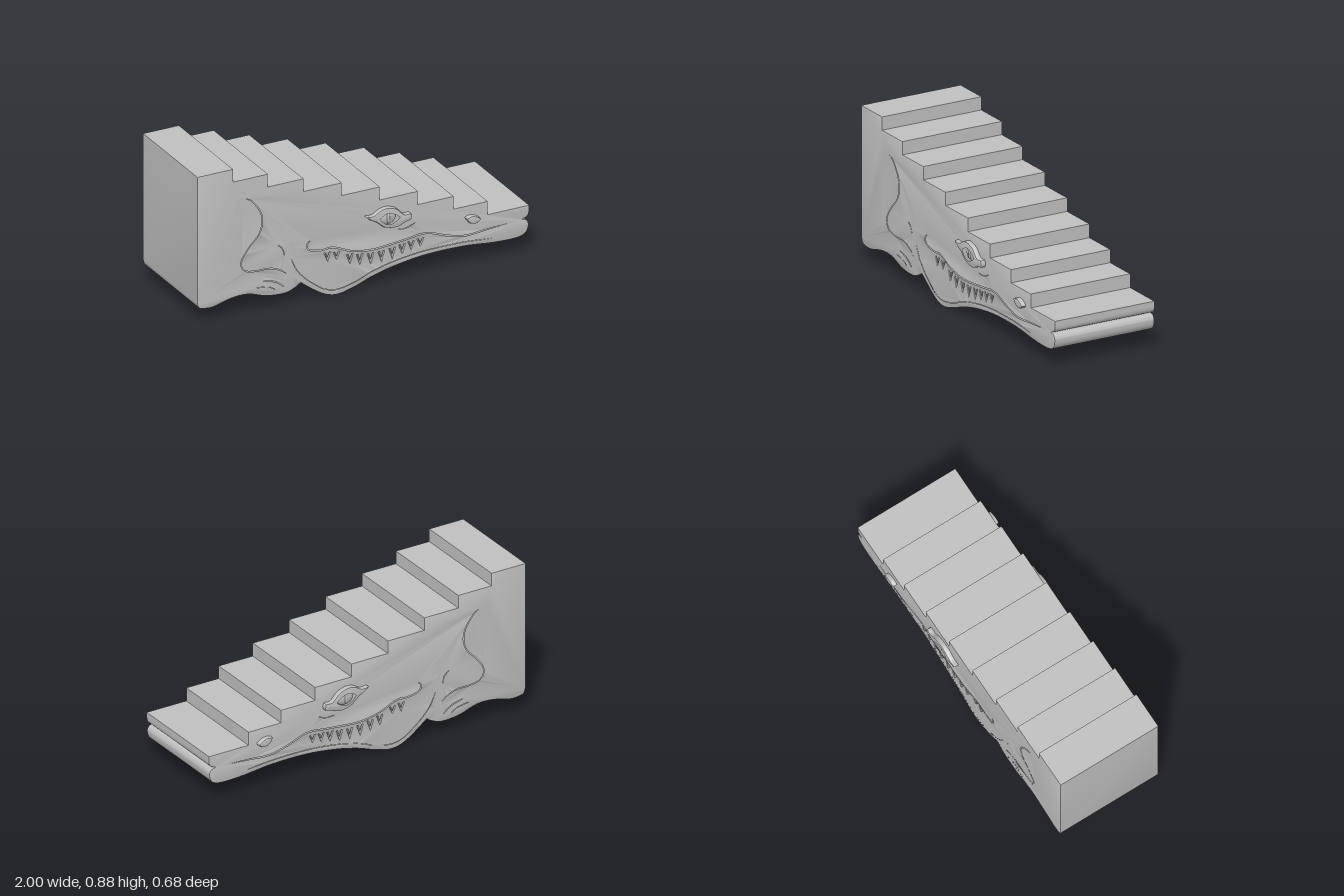
import * as THREE from 'three';
import { toCreasedNormals } from 'three/addons/utils/BufferGeometryUtils.js';

const stone = new THREE.MeshStandardMaterial({ color: 0xbfbfbf });
stone.name = 'stone grey';

const v = (p) => new THREE.Vector2(p[0], p[1]);
const spline = (pts, n) => new THREE.SplineCurve(pts.map(v)).getPoints(n);

// Side outline: nine treads on top, foot and jaw curves below
function bodyOutline() {
  const edges = [-1, -0.785, -0.575, -0.36, -0.13, 0.1, 0.33, 0.545, 0.75, 1];
  const heights = [0.88, 0.805, 0.73, 0.655, 0.58, 0.503, 0.425, 0.35, 0.272];
  const treads = [];
  heights.forEach((y, i) => treads.push(v([edges[i], y]), v([edges[i + 1], y])));
  const upperLip = spline([[1, 0.25], [0.998, 0.225], [0.985, 0.207], [0.958, 0.198]], 8);
  const jaw = spline([[0.962, 0.195], [0.985, 0.188], [0.997, 0.16], [0.98, 0.115], [0.92, 0.096], [0.78, 0.1],
    [0.6, 0.118], [0.38, 0.118], [0.2, 0.096], [0.06, 0.064], [-0.045, 0.027], [-0.15, 0.003], [-0.23, 0.02],
    [-0.31, 0.07], [-0.375, 0.12]], 70);
  const foot = spline([[-0.385, 0.115], [-0.41, 0.1], [-0.47, 0.08], [-0.58, 0.088], [-0.69, 0.122],
    [-0.79, 0.122], [-0.9, 0.096], [-0.96, 0.097], [-0.99, 0.108], [-1, 0.135]], 45);
  return [...treads, ...upperLip, ...jaw, ...foot];
}

// Tapered stroke around a smooth path
function stroke(pts, half) {
  const curve = new THREE.SplineCurve(pts.map(v));
  const n = pts.length * 6, left = [], right = [];
  for (let i = 0; i <= n; i++) {
    const p = curve.getPoint(i / n), t = curve.getTangent(i / n);
    const w = half * Math.min(1, 0.3 + 6 * Math.min(i, n - i) / n);
    left.push(new THREE.Vector2(p.x - t.y * w, p.y + t.x * w));
    right.unshift(new THREE.Vector2(p.x + t.y * w, p.y - t.x * w));
  }
  return [...left, ...right];
}

const grooves = [
  // mouth
  stroke([[-0.3, 0.36], [-0.335, 0.345], [-0.33, 0.305], [-0.26, 0.285], [-0.18, 0.285], [-0.07, 0.24], [0.06, 0.22],
    [0.25, 0.235], [0.38, 0.245], [0.515, 0.2], [0.62, 0.178], [0.755, 0.187], [0.935, 0.197]], 0.006),
  // cheek fold running on into the lower lip
  stroke([[-0.45, 0.375], [-0.435, 0.28], [-0.4, 0.2], [-0.345, 0.135], [-0.29, 0.09], [-0.23, 0.05], [-0.15, 0.033],
    [-0.04, 0.057], [0.06, 0.094], [0.2, 0.125], [0.38, 0.143], [0.6, 0.142], [0.78, 0.127], [0.93, 0.125]], 0.004),
  // front leg and shoulder
  stroke([[-0.755, 0.7], [-0.675, 0.67], [-0.612, 0.57], [-0.622, 0.475], [-0.69, 0.395], [-0.735, 0.325],
    [-0.72, 0.27], [-0.66, 0.25], [-0.56, 0.245], [-0.49, 0.215], [-0.435, 0.165]], 0.005),
  stroke([[-0.52, 0.375], [-0.488, 0.347], [-0.474, 0.3]], 0.004),
  // toes
  stroke([[-0.62, 0.215], [-0.53, 0.195], [-0.46, 0.155], [-0.43, 0.13]], 0.005),
  stroke([[-0.61, 0.182], [-0.53, 0.16], [-0.475, 0.118]], 0.005),
  stroke([[-0.65, 0.15], [-0.57, 0.138], [-0.525, 0.11]], 0.004),
  // crease under the eye
  stroke([[0.2, 0.305], [0.26, 0.303], [0.32, 0.325]], 0.004),
];

// Teeth cut as V grooves: x, top, length
const teeth = [[-0.215, 0.262, 0.05], [-0.16, 0.254, 0.045], [-0.08, 0.223, 0.055], [-0.02, 0.21, 0.06],
  [0.045, 0.2, 0.06], [0.11, 0.198, 0.06], [0.175, 0.203, 0.06], [0.235, 0.211, 0.055],
  [0.29, 0.217, 0.05], [0.345, 0.221, 0.045]];
for (const [x, y, h] of teeth) {
  grooves.push([[x - 0.02, y], [x, y - h], [x + 0.02, y], [x + 0.011, y], [x, y - h * 0.6], [x - 0.011, y]].map(v));
}

function slab(outline, holes, depth, bevel) {
  const shape = new THREE.Shape(outline);
  shape.holes = holes.map((h) => new THREE.Path(h));
  const g = new THREE.ExtrudeGeometry(shape, {
    depth: depth - 2 * bevel, bevelEnabled: bevel > 0, bevelThickness: bevel,
    bevelSize: bevel, bevelOffset: -bevel, bevelSegments: 2,
  });
  return toCreasedNormals(g.translate(0, 0, -depth / 2 + bevel), 0.6);
}

function add(parent, name, geometry, x = 0, y = 0, z = 0) {
  const mesh = new THREE.Mesh(geometry, stone);
  mesh.name = name;
  mesh.position.set(x, y, z);
  parent.add(mesh);
  return mesh;
}

export function createModel() {
  const model = new THREE.Group();
  model.name = 'crocodileStairs';
  const outline = bodyOutline();
  add(model, 'stairBody', slab(outline, [], 0.584, 0));

  const panel = slab(outline, grooves, 0.026, 0.003);
  const lid = slab(
    spline([[0.005, 0.43], [0.05, 0.428], [0.09, 0.45], [0.135, 0.458], [0.19, 0.44], [0.235, 0.398], [0.275, 0.395],
      [0.278, 0.36], [0.24, 0.35], [0.19, 0.332], [0.12, 0.345], [0.07, 0.385], [0.03, 0.408], [0.005, 0.43]], 52).slice(0, -1),
    [spline([[0.075, 0.405], [0.14, 0.434], [0.215, 0.39], [0.16, 0.352], [0.11, 0.365], [0.075, 0.405]], 24).slice(0, -1)],
    0.05, 0.008);
  const ball = new THREE.SphereGeometry(1, 24, 16);
  const nostril = slab(
    spline([[0.61, 0.288], [0.645, 0.296], [0.68, 0.284], [0.697, 0.265], [0.665, 0.246], [0.63, 0.258], [0.61, 0.288]], 24).slice(0, -1),
    [spline([[0.642, 0.274], [0.66, 0.28], [0.674, 0.269], [0.658, 0.263], [0.642, 0.274]], 12).slice(0, -1)],
    0.05, 0.01);

  // Carved panel and face details on both flanks
  for (const s of [1, -1]) {
    const side = new THREE.Group();
    side.name = s > 0 ? 'frontFlank' : 'backFlank';
    model.add(side);
    add(side, 'carvedPanel', panel, 0, 0, s * 0.297);
    add(side, 'eyelid', lid, 0, 0, s * 0.313);
    add(side, 'eyeball', ball, 0.143, 0.393, s * 0.307).scale.set(0.052, 0.042, 0.02);
    add(side, 'pupil', ball, 0.143, 0.393, s * 0.322).scale.set(0.01, 0.03, 0.01);
    add(side, 'tearDuct', ball, 0.258, 0.376, s * 0.325).scale.set(0.02, 0.02, 0.015);
    add(side, 'nostril', nostril, 0, 0, s * 0.313);
  }
  return model;
}
